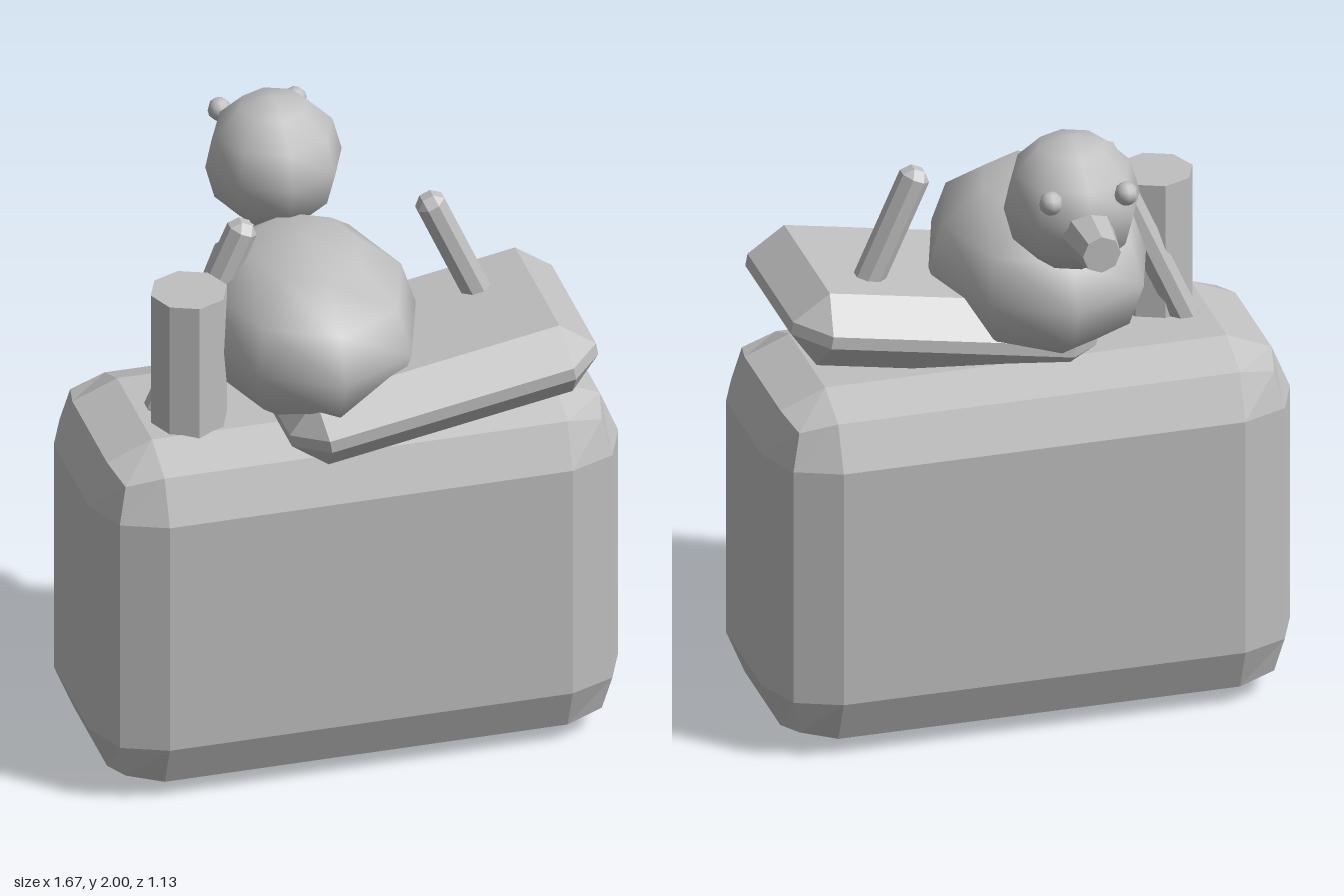
import * as THREE from 'three';
import { RoundedBoxGeometry } from 'three/addons/geometries/RoundedBoxGeometry.js';
import { ConvexGeometry } from 'three/addons/geometries/ConvexGeometry.js';

// Box with every edge cut at 45 degrees
function chamferedBox(w, h, d, c) {
  const points = [];
  for (const x of [-1, 1]) for (const y of [-1, 1]) for (const z of [-1, 1]) {
    for (let axis = 0; axis < 3; axis++) {
      const half = [w / 2 - c, h / 2 - c, d / 2 - c];
      half[axis] += c;
      points.push(new THREE.Vector3(x * half[0], y * half[1], z * half[2]));
    }
  }
  return new ConvexGeometry(points);
}

export function createModel() {
  const model = new THREE.Group();
  model.name = 'birdOnBlock';

  const facetedGrey = new THREE.MeshStandardMaterial({ color: 0xc0c0c0, flatShading: true });
  facetedGrey.name = 'grey faceted';
  const smoothGrey = new THREE.MeshStandardMaterial({ color: 0xc0c0c0 });
  smoothGrey.name = 'grey smooth';

  function add(name, geometry, material, x, y, z) {
    const mesh = new THREE.Mesh(geometry, material);
    mesh.name = name;
    mesh.position.set(x, y, z);
    model.add(mesh);
    return mesh;
  }

  // Large block with bevelled edges
  add('block', new RoundedBoxGeometry(1.67, 1.18, 0.785, 1, 0.2), facetedGrey, 0, 0.59, 0.0975);

  // Tilted slab lying across the block
  const slab = add('slab', chamferedBox(0.98, 0.24, 0.69, 0.1), facetedGrey, 0.242, 1.284, 0.2);
  slab.rotation.z = THREE.MathUtils.degToRad(10);

  // Chimney-like post
  add('post', new THREE.CylinderGeometry(0.12, 0.12, 0.475, 8), facetedGrey, -0.49, 1.3875, 0.19);

  // Pair of leaning bars
  for (const side of [-1, 1]) {
    const bar = add(side > 0 ? 'leftBar' : 'rightBar', chamferedBox(0.09, 0.7, 0.09, 0.027),
      facetedGrey, side * 0.427, 1.462, 0.097);
    bar.rotation.z = side * THREE.MathUtils.degToRad(24);
  }

  // Bird, facing the back
  const body = new THREE.SphereGeometry(1, 8, 6).scale(0.345, 0.28, 0.44);
  add('birdBody', body, smoothGrey, -0.1, 1.43, 0.12);
  add('birdHead', new THREE.SphereGeometry(0.215, 8, 6), smoothGrey, -0.1, 1.785, -0.245);
  const beak = new THREE.CylinderGeometry(0.06, 0.09, 0.2, 8).rotateX(-Math.PI / 2);
  add('beak', beak, facetedGrey, -0.1, 1.75, -0.47);
  for (const side of [-1, 1]) {
    add(side > 0 ? 'leftEye' : 'rightEye', new THREE.SphereGeometry(0.037, 8, 6), smoothGrey,
      -0.1 + side * 0.119, 1.873, -0.426);
  }

  return model;
}
